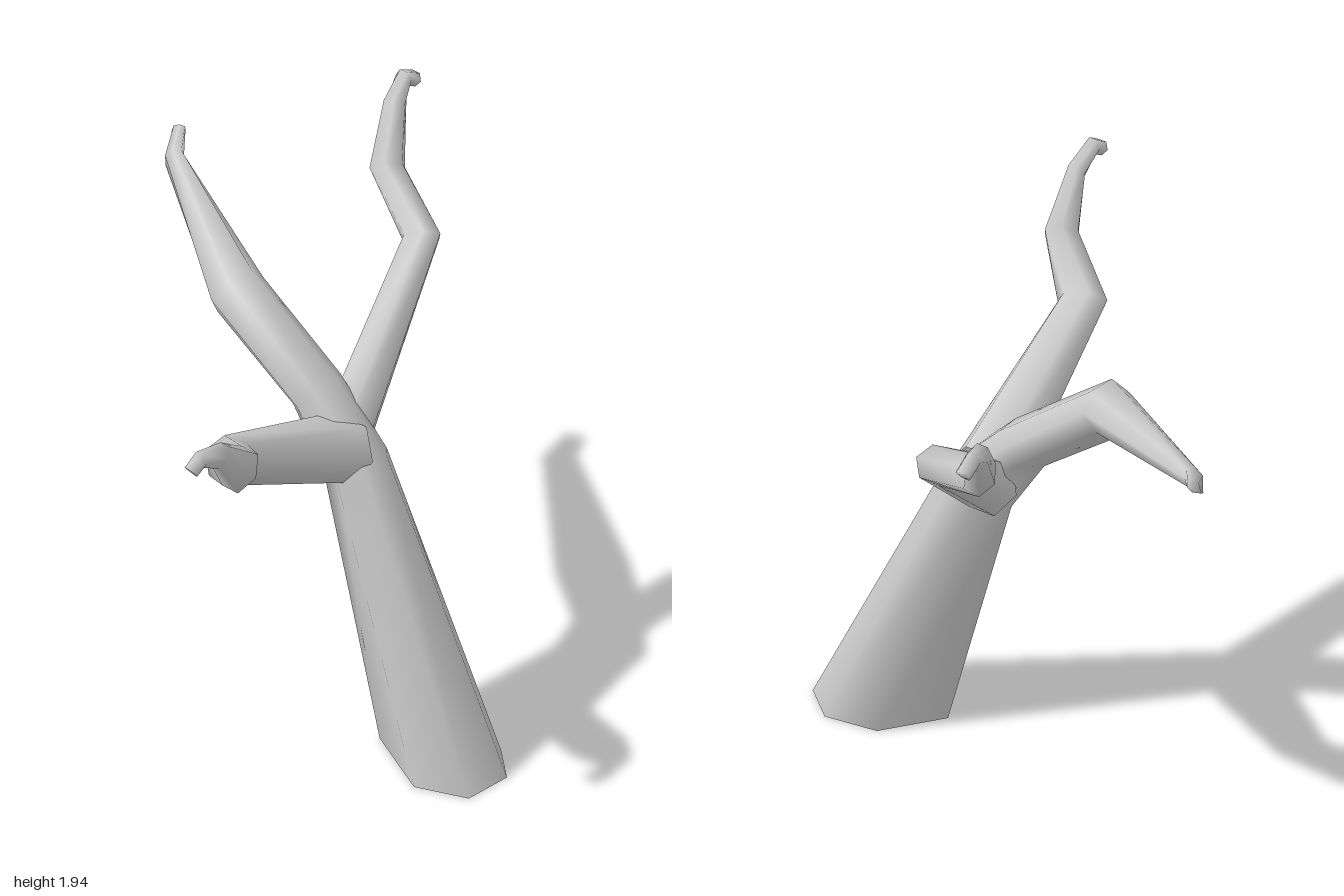
import * as THREE from 'three';

const V = (x, y, z) => new THREE.Vector3(x, y, z);

// Six-sided cross-sections: an uneven one for the trunk, an even one for the limbs
const TRUNK_RING = [[0.52, -1], [1, -0.41], [0.91, 0.59], [0.13, 1], [-1, 0.24], [-0.3, -0.85]];
const LIMB_RING = Array.from({ length: 6 }, (_, i) => {
  const a = ((i + 0.5) / 6) * Math.PI * 2;
  return [Math.cos(a) * 1.05, Math.sin(a) * 1.08];
});

// Skin a chain of sections [x, y, z, radius, sideways radius]; the far end is closed
function limb(name, sections, ring, side, startDir) {
  const centres = sections.map(s => V(s[0], s[1], s[2]));
  const n = ring.length;
  const pos = [], index = [];
  sections.forEach((s, i) => {
    const t = V(0, 0, 0);
    if (i > 0) t.add(centres[i].clone().sub(centres[i - 1]).normalize());
    if (i < centres.length - 1) t.add(centres[i + 1].clone().sub(centres[i]).normalize());
    if (i === 0 && startDir) t.copy(startDir);
    t.normalize();
    const v = side.clone().addScaledVector(t, -side.dot(t)).normalize();
    const u = t.clone().cross(v);
    for (const [a, b] of ring) {
      pos.push(...centres[i].clone().addScaledVector(u, a * s[3]).addScaledVector(v, b * s[4]).toArray());
    }
  });
  for (let i = 0; i < sections.length - 1; i++) {
    for (let j = 0; j < n; j++) {
      const k = (j + 1) % n;
      const a = i * n + j, b = i * n + k, c = a + n, d = b + n;
      index.push(a, c, b, b, c, d);
    }
  }
  // Tip cap
  const last = (sections.length - 1) * n;
  for (let j = 1; j < n - 1; j++) index.push(last, last + j + 1, last + j);

  const geo = new THREE.BufferGeometry();
  geo.setAttribute('position', new THREE.Float32BufferAttribute(pos, 3));
  geo.setIndex(index);
  geo.computeVertexNormals();
  const mesh = new THREE.Mesh(geo, new THREE.MeshStandardMaterial({ color: 0xcccccc, side: THREE.DoubleSide }));
  mesh.name = name;
  return mesh;
}

export function createModel() {
  const group = new THREE.Group();
  group.name = 'bareTree';

  // Leaning trunk, open at the foot, bending over into the right-hand bough
  group.add(limb('trunkAndBough', [
    [0.61, 0, -0.07, 0.23, 0.17],
    [0.235, 1.05, -0.065, 0.125, 0.105],
    [0.07, 1.27, -0.055, 0.095, 0.1],
    [-0.255, 1.535, -0.03, 0.1, 0.1],
    [-0.785, 1.66, -0.34, 0.05, 0.03],
    [-0.835, 1.71, -0.425, 0.03, 0.02],
  ], TRUNK_RING, V(0, 0, 1), V(0, 1, 0)));

  // Front branch with two elbows and a hooked tip
  group.add(limb('frontBranch', [
    [0.21, 1.12, -0.04, 0.11, 0.12],
    [0.225, 1.42, 0.56, 0.08, 0.08],
    [0.395, 1.545, 0.7, 0.08, 0.055],
    [0.425, 1.7, 0.84, 0.045, 0.03],
    [0.425, 1.74, 0.94, 0.03, 0.028],
    [0.42, 1.71, 0.98, 0.026, 0.028],
  ], LIMB_RING, V(1, 0, 0)));

  // Back branch, bending the opposite way
  group.add(limb('backBranch', [
    [0.165, 1.1, -0.1, 0.1, 0.085],
    [0.05, 1.575, -0.63, 0.065, 0.065],
    [-0.185, 1.69, -0.73, 0.07, 0.055],
    [-0.245, 1.86, -0.84, 0.05, 0.035],
    [-0.275, 1.91, -0.92, 0.03, 0.028],
    [-0.272, 1.88, -0.97, 0.026, 0.028],
  ], LIMB_RING, V(1, 0, 0)));

  return group;
}
